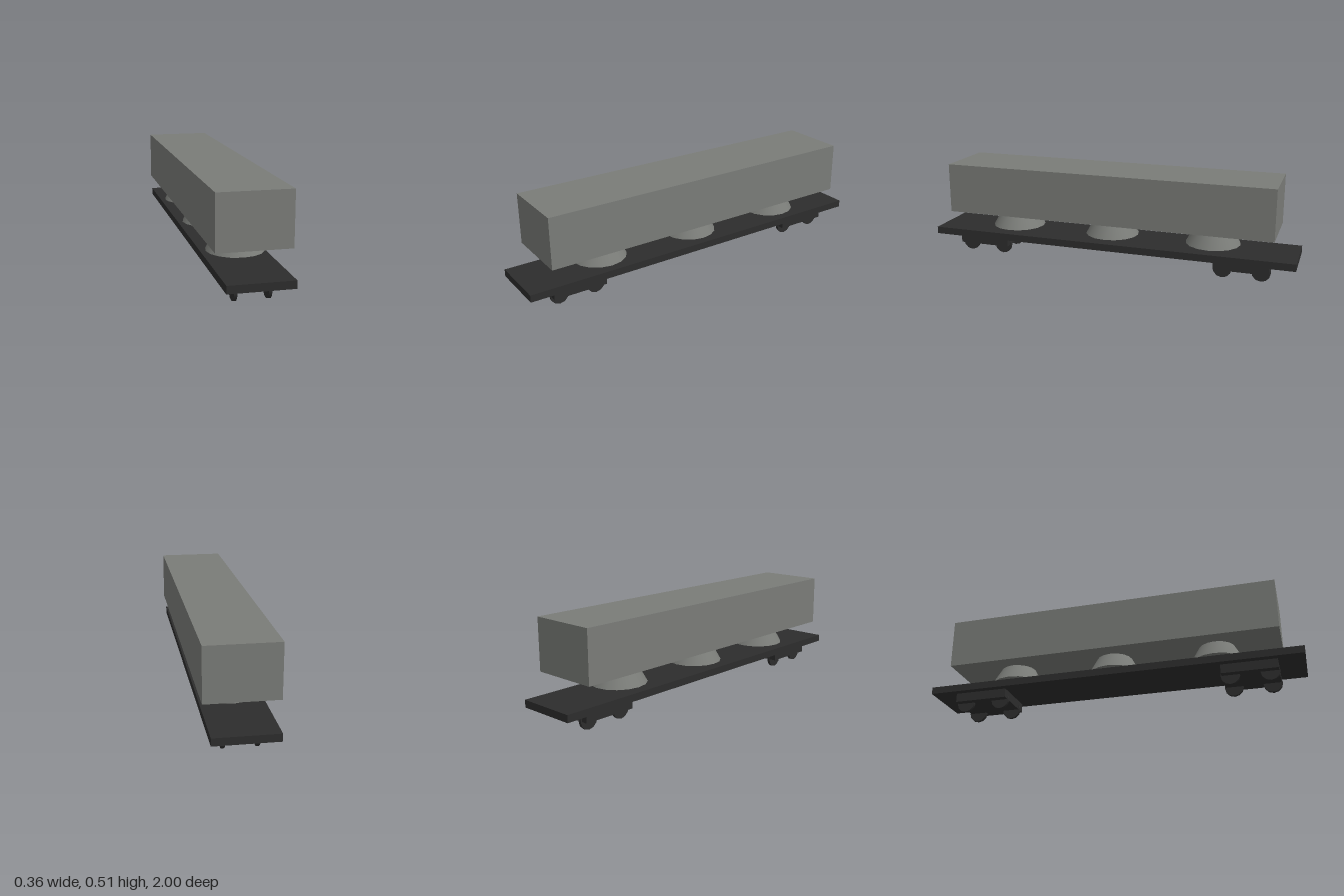
import * as THREE from 'three';

export function createModel() {
  const car = new THREE.Group();
  car.name = 'hopperCar';
  const grey = new THREE.MeshStandardMaterial({ color: 0x7a7c78 });
  const dark = new THREE.MeshStandardMaterial({ color: 0x2d2d2d });

  const add = (parent, name, geometry, material, x, y, z) => {
    const mesh = new THREE.Mesh(geometry, material);
    mesh.name = name;
    mesh.position.set(x, y, z);
    parent.add(mesh);
    return mesh;
  };

  // Long cargo body and the flat deck below it
  add(car, 'body', new THREE.BoxGeometry(0.356, 0.267, 1.78), grey, 0, 0.3765, 0);
  add(car, 'deck', new THREE.BoxGeometry(0.312, 0.038, 2), dark, 0, 0.116, 0);

  // Flared chutes, their narrow ends tucked just inside the body
  const chute = new THREE.CylinderGeometry(0.089, 0.144, 0.1, 16);
  for (const z of [-0.556, 0, 0.556]) add(car, 'chute', chute, grey, 0, 0.205, z);

  // Two bogies, each with four thin wheels half hidden in the frame
  const frame = new THREE.BoxGeometry(0.244, 0.048, 0.286);
  const wheel = new THREE.CylinderGeometry(0.049, 0.049, 0.016, 12).rotateZ(Math.PI / 2);
  for (const end of [-1, 1]) {
    const bogie = new THREE.Group();
    bogie.name = end > 0 ? 'frontBogie' : 'rearBogie';
    bogie.position.z = end * 0.723;
    car.add(bogie);
    add(bogie, 'bogieFrame', frame, dark, 0, 0.073, 0);
    for (const x of [-0.08, 0.08])
      for (const z of [-0.1, 0.1]) add(bogie, 'wheel', wheel, dark, x, 0.049, z);
  }
  return car;
}
